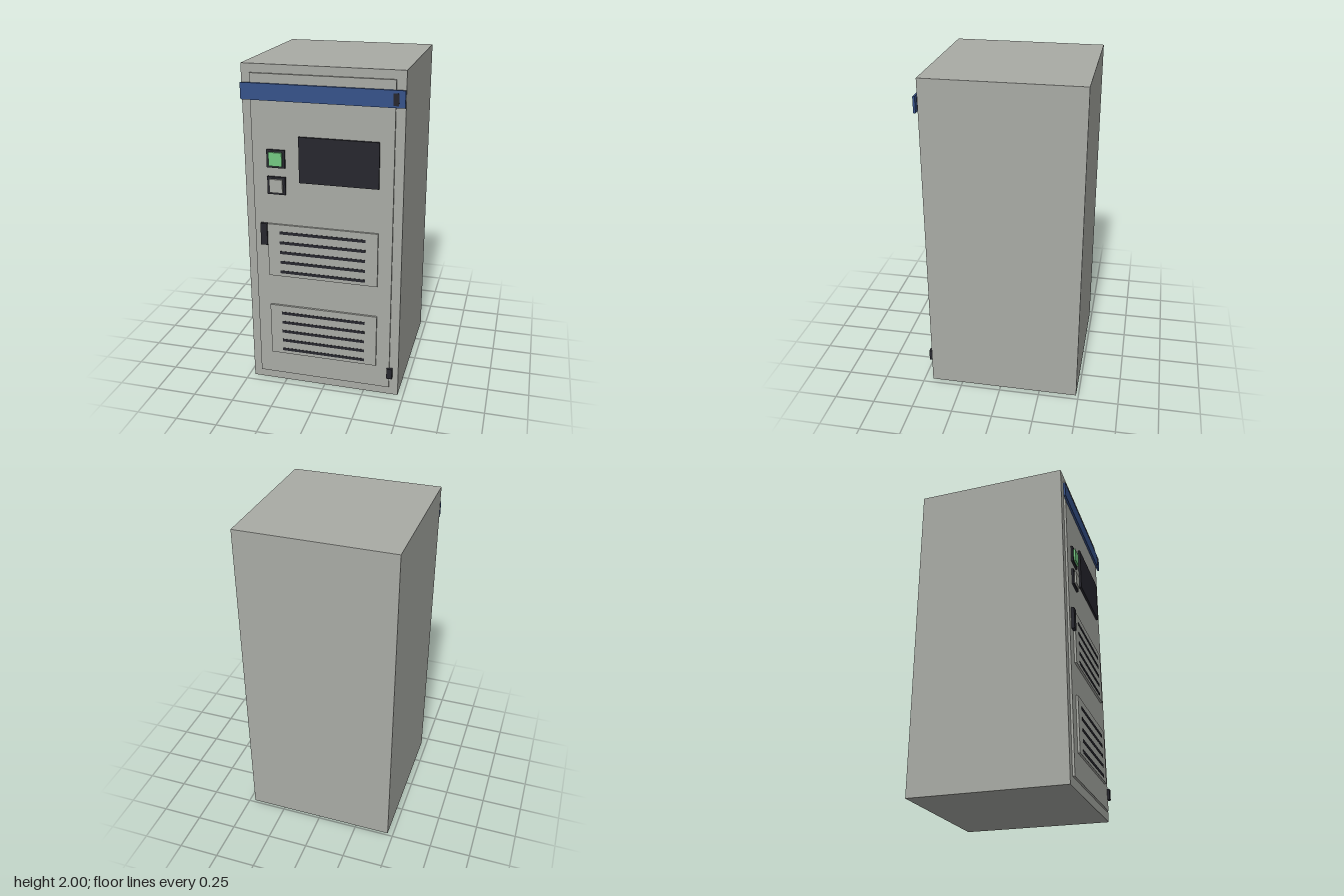
import * as THREE from 'three';

const paint = (name, color) => {
  const m = new THREE.MeshStandardMaterial({ color });
  m.name = name;
  return m;
};

export function createModel() {
  const grey = paint('cabinet grey', 0xa9aba5);
  const blue = paint('stripe blue', 0x36528a);
  const dark = paint('dark plastic', 0x27272e);
  const green = paint('button green', 0x74c882);

  const model = new THREE.Group();
  model.name = 'equipmentCabinet';

  // Box given by its minimum and maximum along each axis
  const box = (name, mat, [x0, x1], [y0, y1], [z0, z1], parent = model) => {
    const mesh = new THREE.Mesh(new THREE.BoxGeometry(x1 - x0, y1 - y0, z1 - z0), mat);
    mesh.position.set((x0 + x1) / 2, (y0 + y1) / 2, (z0 + z1) / 2);
    mesh.name = name;
    parent.add(mesh);
    return mesh;
  };

  // Cabinet, door and front stripe
  const doorZ = 0.459;
  box('cabinetBody', grey, [-0.465, 0.465], [0, 2], [-0.485, 0.446]);
  box('door', grey, [-0.413, 0.411], [0.055, 1.95], [0.446, doorZ]);
  box('stripe', blue, [-0.465, 0.465], [1.802, 1.897], [doorZ, 0.472]);

  // Door furniture
  box('screen', dark, [-0.133, 0.33], [1.337, 1.606], [doorZ, 0.472]);
  box('handle', dark, [-0.375, -0.335], [0.935, 1.07], [doorZ, 0.478]);
  box('upperHinge', dark, [0.4, 0.431], [1.813, 1.88], [0.452, 0.473]);
  box('lowerHinge', dark, [0.397, 0.431], [0.124, 0.191], [0.452, 0.473]);

  // Push buttons in dark bezels
  for (const [name, y, mat] of [['upperButton', 1.469, green], ['lowerButton', 1.309, grey]]) {
    const button = new THREE.Group();
    button.name = name;
    box('bezel', dark, [-0.324, -0.216], [y - 0.053, y + 0.053], [doorZ, 0.472], button);
    box('cap', mat, [-0.309, -0.231], [y - 0.04, y + 0.04], [0.472, 0.483], button);
    model.add(button);
  }

  // Vent panels with five slots each
  for (const [name, bottom] of [['upperVent', 0.736], ['lowerVent', 0.204]]) {
    const vent = new THREE.Group();
    vent.name = name;
    box('ventPanel', grey, [-0.333, 0.33], [bottom, bottom + 0.333], [doorZ, 0.472], vent);
    for (let i = 0; i < 5; i++) {
      const y = bottom + 0.03 + i * 0.063;
      box('slot', dark, [-0.26, 0.257], [y - 0.009, y + 0.009], [0.47, 0.474], vent);
    }
    model.add(vent);
  }

  return model;
}
